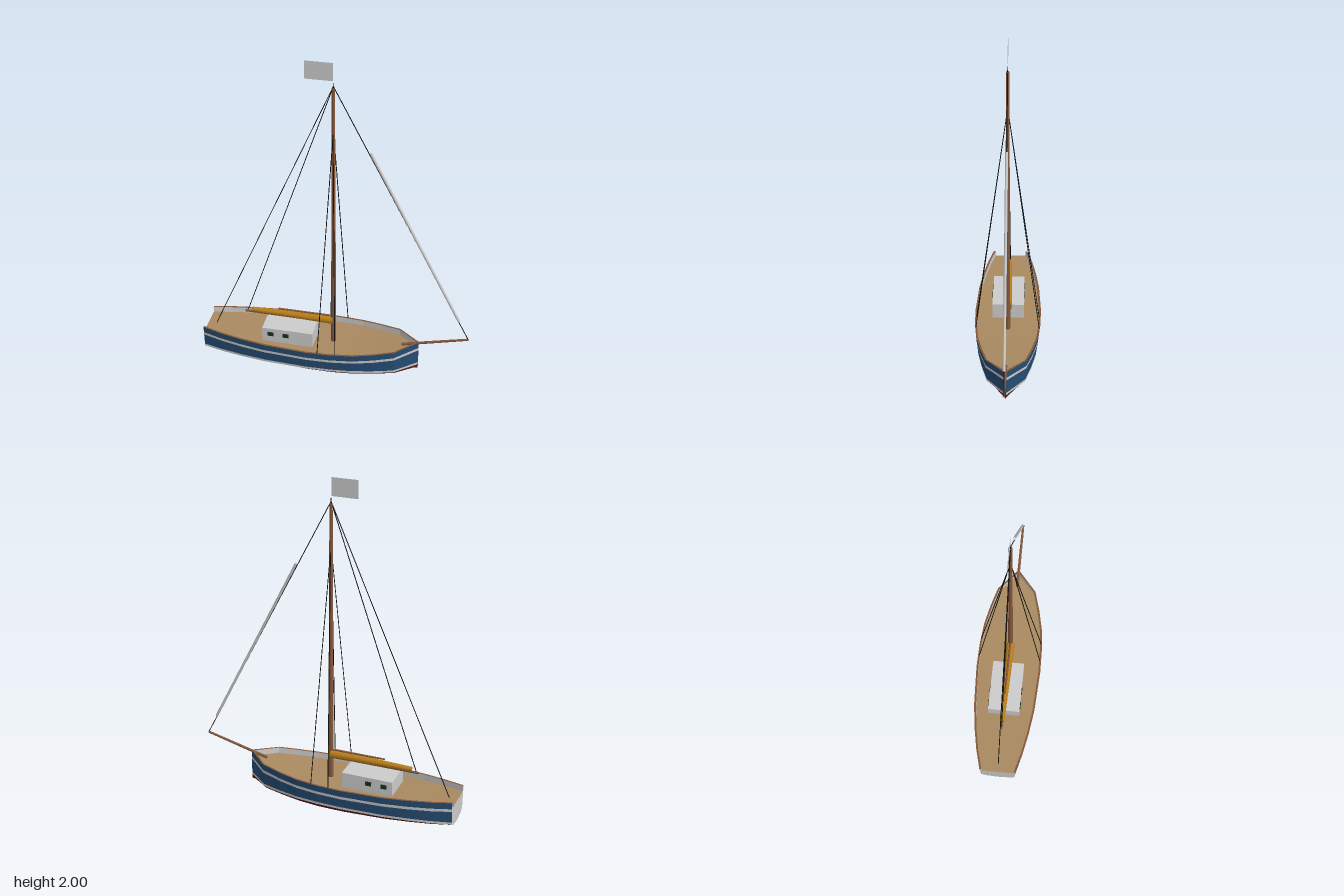
import * as THREE from 'three';

const material = (color, flat = false) =>
  new THREE.MeshStandardMaterial({ color, flatShading: flat, side: THREE.DoubleSide });
const BLUE = 0x264d74, RED = 0x5e1c19, WHITE = 0xcccccc, DECK = 0xa98a60;
const WOOD = 0x84583b, SAIL = 0xb87d1c, ROPE = 0x111111, GLASS = 0x16301f;

// Hull stations from stern to bow: x, half breadth, keel height, sheer height
const stations = [
  [-0.8, 0.11, 0.05, 0.225], [-0.68, 0.142, 0.035, 0.22], [-0.55, 0.167, 0.023, 0.216],
  [-0.4, 0.187, 0.012, 0.212], [-0.15, 0.2, 0.002, 0.209], [0, 0.196, 0, 0.21],
  [0.13, 0.183, 0.006, 0.214], [0.25, 0.156, 0.017, 0.221], [0.37, 0.12, 0.03, 0.231],
  [0.5, 0.004, 0.05, 0.243],
].map(([x, w, keel, sheer]) => ({ x, w, keel, sheer }));

const innerX = s => (s.x > 0.45 ? s.x - 0.016 : s.x);
const innerW = s => Math.max(0, s.w - 0.012);
const topside = (s, y) => s.w * (0.93 + 0.07 * (y - 0.08) / (s.sheer - 0.08));

// Longitudinal lines of the hull, each a rule from a station to a point
const level = y => s => [s.x, y, topside(s, y)];
const belowSheer = d => s => [s.x, s.sheer - d, topside(s, s.sheer - d)];
const keel = s => [s.x, s.keel, 0];
const bilge = s => [s.x, s.keel + (0.08 - s.keel) * 0.4, s.w * 0.66];
const rail = belowSheer(0);
const railInner = s => [innerX(s), s.sheer, innerW(s)];
const deckEdge = s => [innerX(s), s.sheer - 0.035, innerW(s)];
const deckCentre = s => [innerX(s), s.sheer - 0.035, 0];

// Mirrored strip of quads between two hull lines
function strip(name, lower, upper, color) {
  const pos = [];
  for (const side of [1, -1]) {
    const p = (f, s) => { const [x, y, z] = f(s); return [x, y, z * side]; };
    for (let i = 0; i < stations.length - 1; i++) {
      const a = p(lower, stations[i]), b = p(lower, stations[i + 1]);
      const c = p(upper, stations[i + 1]), d = p(upper, stations[i]);
      const quad = side > 0 ? [a, b, c, a, c, d] : [a, c, b, a, d, c];
      pos.push(...quad.flat());
    }
  }
  const g = new THREE.BufferGeometry();
  g.setAttribute('position', new THREE.Float32BufferAttribute(pos, 3));
  g.computeVertexNormals();
  const m = new THREE.Mesh(g, material(color, true));
  m.name = name;
  return m;
}

// Round bar between two points, r0 at the start and r1 at the end
function spar(name, from, to, r0, r1, color, sides = 10) {
  const a = new THREE.Vector3(...from), b = new THREE.Vector3(...to);
  const dir = b.clone().sub(a);
  const m = new THREE.Mesh(new THREE.CylinderGeometry(r1, r0, dir.length(), sides), material(color));
  m.position.copy(a).add(b).multiplyScalar(0.5);
  m.quaternion.setFromUnitVectors(new THREE.Vector3(0, 1, 0), dir.normalize());
  m.name = name;
  return m;
}

function box(name, size, at, color) {
  const m = new THREE.Mesh(new THREE.BoxGeometry(...size), material(color));
  m.position.set(...at);
  m.name = name;
  return m;
}

function createHull() {
  const hull = new THREE.Group();
  hull.name = 'hull';
  hull.add(
    strip('bottomKeel', keel, bilge, RED),
    strip('bottomBilge', bilge, level(0.08), RED),
    strip('waterline', level(0.08), level(0.095), WHITE),
    strip('lowerTopside', level(0.095), belowSheer(0.058), BLUE),
    strip('sheerStripe', belowSheer(0.058), belowSheer(0.04), WHITE),
    strip('upperTopside', belowSheer(0.04), rail, BLUE),
    strip('capRail', rail, railInner, WOOD),
    strip('bulwarkInside', deckEdge, railInner, WHITE),
    strip('deck', deckEdge, deckCentre, DECK),
  );

  // Transom follows the aft cross-section, open above the deck
  const half = [keel, bilge, level(0.08), rail, railInner, deckEdge].map(f => f(stations[0]));
  const outline = [...half.map(p => [p[2], p[1]]),
    ...half.slice(1).reverse().map(p => [-p[2], p[1]])];
  const shape = new THREE.Shape(outline.map(p => new THREE.Vector2(...p)));
  const transom = new THREE.Mesh(new THREE.ShapeGeometry(shape), material(WHITE));
  transom.rotation.y = -Math.PI / 2;
  transom.position.x = stations[0].x;
  transom.name = 'transom';
  hull.add(transom);
  return hull;
}

function createCabin() {
  const cabin = new THREE.Group();
  cabin.name = 'cabin';
  cabin.add(box('cabinHouse', [0.31, 0.1, 0.192], [-0.28, 0.22, 0], WHITE));
  for (const z of [0.096, -0.096])
    for (const x of [-0.383, -0.29])
      cabin.add(box('cabinWindow', [0.036, 0.026, 0.008], [x, 0.232, z], GLASS));
  return cabin;
}

export function createModel() {
  const boat = new THREE.Group();
  boat.name = 'sailingBoat';
  boat.add(createHull(), createCabin());

  // Spars and furled sails
  const head = [-0.017, 1.865, 0], sprit = [0.79, 0.31, 0];
  boat.add(
    spar('mast', [-0.017, 0.17, 0], [-0.017, 1.855, 0], 0.016, 0.009, WOOD, 12),
    spar('mastTip', [-0.017, 1.855, 0], [-0.017, 1.885, 0], 0.002, 0.002, ROPE, 6),
    spar('bowsprit', [0.4, 0.213, 0], sprit, 0.009, 0.007, WOOD),
    spar('boom', [-0.02, 0.309, 0], [-0.562, 0.311, 0], 0.009, 0.007, WOOD),
    spar('furledMainsail', [-0.02, 0.327, 0], [-0.518, 0.327, 0], 0.027, 0.014, SAIL, 12),
    spar('gaff', [-0.02, 0.355, 0], [-0.355, 0.357, 0], 0.006, 0.005, WOOD),
    spar('furledJib', [0.192, 1.483, 0], [0.73, 0.432, 0], 0.008, 0.008, WHITE),
  );

  // Standing rigging
  const rope = (name, a, b) => boat.add(spar(name, a, b, 0.0025, 0.0025, ROPE, 6));
  rope('forestay', head, sprit);
  rope('backstay', head, [-0.75, 0.19, 0]);
  rope('toppingLift', head, [-0.547, 0.315, 0]);
  for (const side of [1, -1])
    for (const x of [-0.076, 0.032])
      rope('shroud', [-0.017, 1.58, side * 0.008], [x, 0.205, side * 0.19]);

  // Flag flying aft of the masthead
  const flag = new THREE.Mesh(new THREE.PlaneGeometry(0.157, 0.105), material(WHITE));
  flag.position.set(-0.0965, 1.9475, 0);
  flag.name = 'flag';
  boat.add(flag);
  return boat;
}
